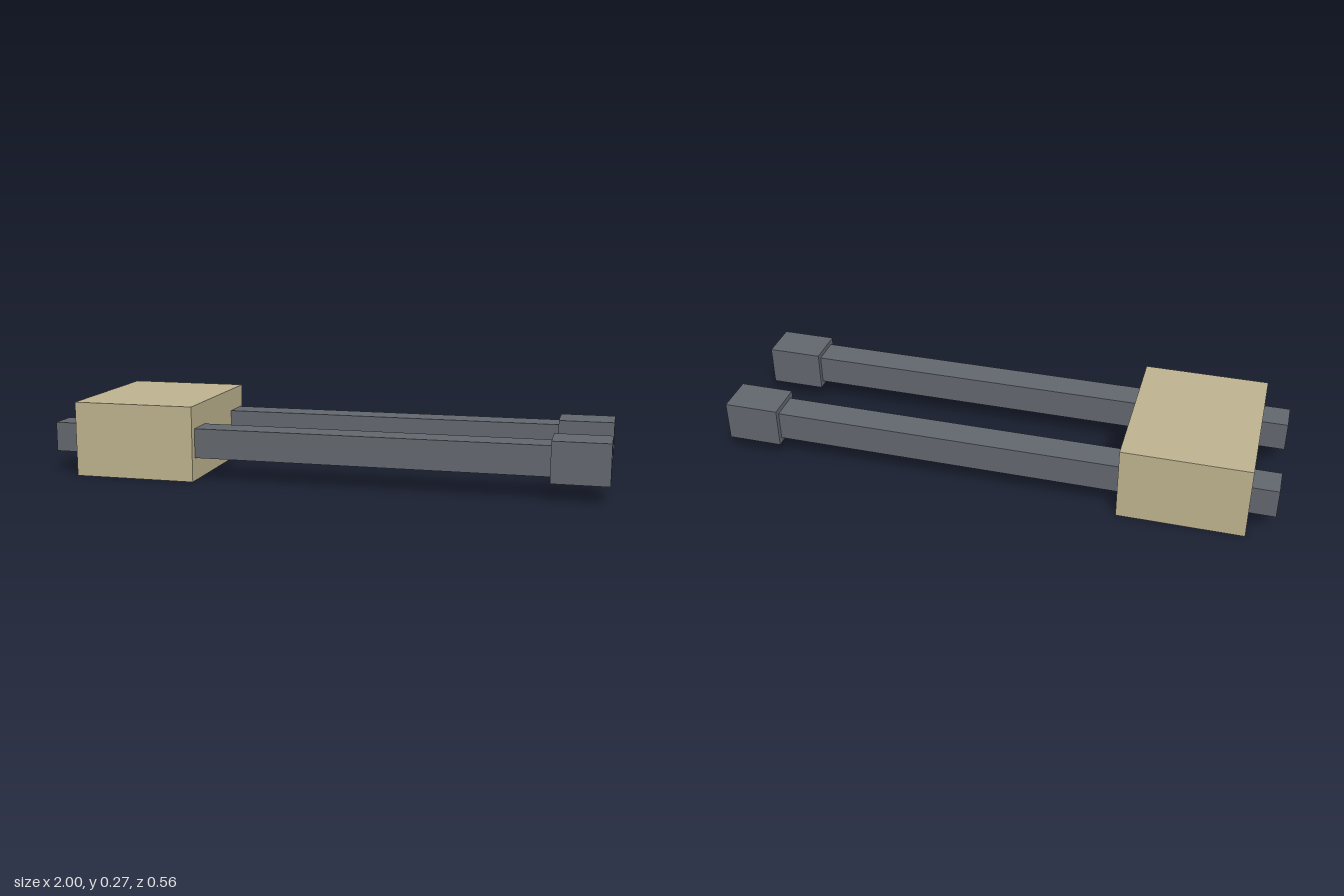
import * as THREE from 'three';

export function createModel() {
  const model = new THREE.Group();
  const tan = new THREE.MeshStandardMaterial({ color: 0xbdb28e });
  tan.name = 'tan';
  const grey = new THREE.MeshStandardMaterial({ color: 0x62676e });
  grey.name = 'dark grey';

  // Box spanning x0..x1, centred on (y, z)
  function addBox(parent, name, material, x0, x1, height, depth, y, z) {
    const mesh = new THREE.Mesh(new THREE.BoxGeometry(x1 - x0, height, depth), material);
    mesh.name = name;
    mesh.position.set((x0 + x1) / 2, y, z);
    parent.add(mesh);
  }

  const axisY = 0.137;

  // Housing that holds both barrels
  addBox(model, 'housing', tan, -0.908, -0.459, 0.273, 0.562, axisY, 0);

  // Twin barrels, each with a thicker muzzle block
  for (const [side, z] of [['front', 0.2], ['back', -0.2]]) {
    const gun = new THREE.Group();
    gun.name = side + 'BarrelAssembly';
    addBox(gun, side + 'Barrel', grey, -1, 0.802, 0.107, 0.107, axisY, z);
    addBox(gun, side + 'Muzzle', grey, 0.802, 1, 0.145, 0.145, axisY, z);
    model.add(gun);
  }
  return model;
}
